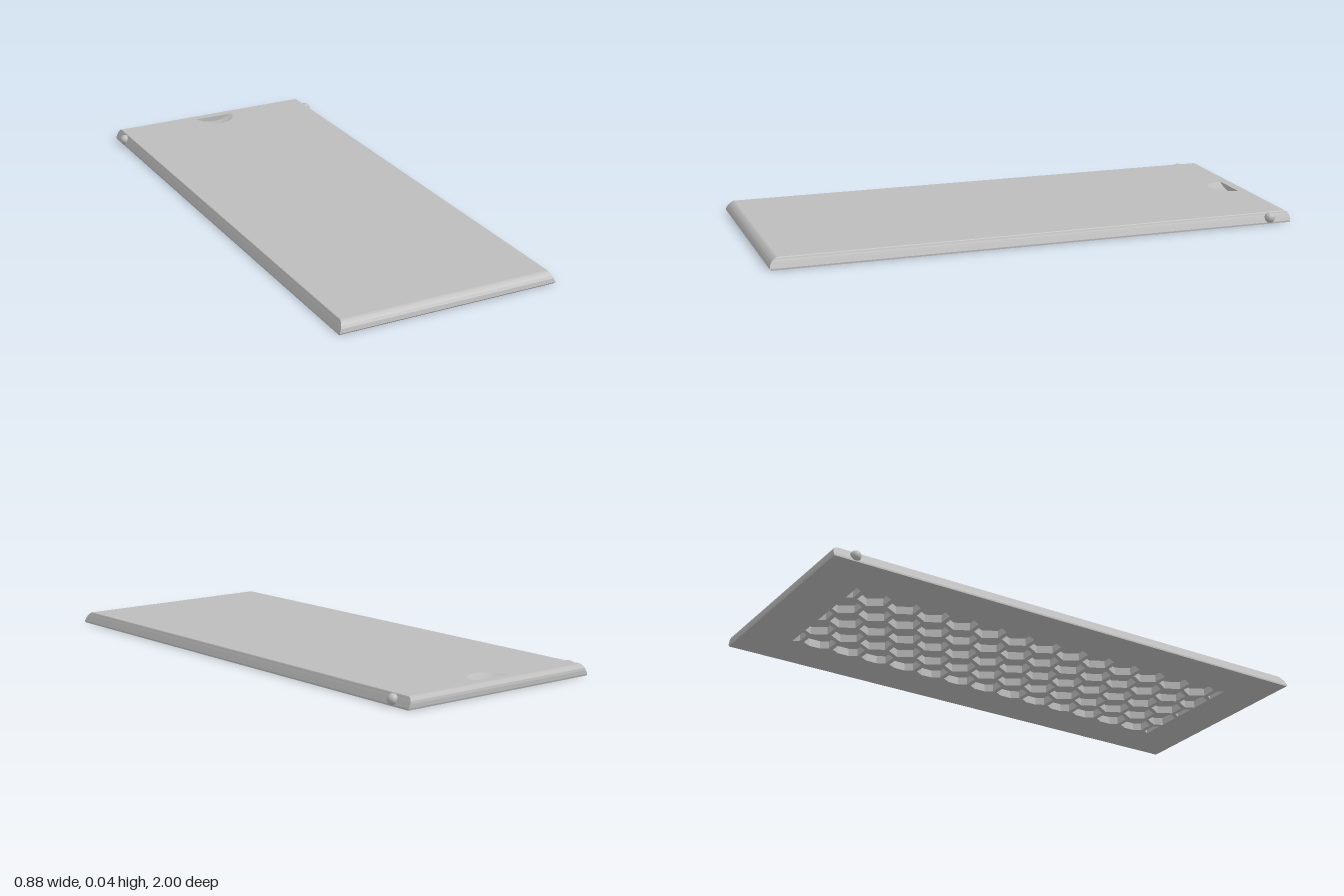
import * as THREE from 'three';

const TOP = 0.043;

// Loose-quad wall strip between two closed loops of [x, y, z] points
function band(lower, upper, out) {
  const n = lower.length;
  for (let i = 0; i < n; i++) {
    const j = (i + 1) % n;
    for (const p of [lower[i], lower[j], upper[j], lower[i], upper[j], upper[i]]) out.push(...p);
  }
}

function fromTriangles(positions) {
  const g = new THREE.BufferGeometry();
  g.setAttribute('position', new THREE.Float32BufferAttribute(positions, 3));
  g.computeVertexNormals();
  return g;
}

// Keep the part of a polygon where sign * p[axis] <= limit
function clip(poly, axis, sign, limit) {
  const out = [];
  poly.forEach((a, i) => {
    const b = poly[(i + 1) % poly.length];
    const da = limit - sign * a[axis], db = limit - sign * b[axis];
    if (da >= 0) out.push(a);
    if (da * db < 0) {
      const t = da / (da - db);
      out.push([a[0] + (b[0] - a[0]) * t, a[1] + (b[1] - a[1]) * t]);
    }
  });
  return out;
}

const toVectors = (pts) => pts.map(([x, y]) => new THREE.Vector2(x, y));

// Honeycomb cells as [x, z] outlines, trimmed to a rectangle
function honeycomb() {
  const pitchX = 0.105, pitchZ = 0.1212, radius = 0.06, limitX = 0.257, limitZ = 0.82;
  const cells = [];
  for (let c = -3; c <= 3; c++) {
    for (let r = -8; r <= 8; r++) {
      const cx = c * pitchX, cz = (r + (c % 2 ? 0.5 : 0)) * pitchZ;
      let cell = [];
      for (let k = 0; k < 6; k++) {
        const a = k * Math.PI / 3;
        cell.push([cx + radius * Math.cos(a), cz + radius * Math.sin(a)]);
      }
      for (const s of [1, -1]) {
        cell = clip(cell, 0, s, limitX);
        cell = clip(cell, 1, s, limitZ);
      }
      if (cell.length > 2 && Math.abs(THREE.ShapeUtils.area(toVectors(cell))) > 1e-5) cells.push(cell);
    }
  }
  return cells;
}

export function createModel() {
  const model = new THREE.Group();
  model.name = 'slidingLid';
  const grey = new THREE.MeshStandardMaterial({ color: 0xbcbcbc });
  grey.name = 'grey plastic';
  const add = (name, geometry) => {
    const mesh = new THREE.Mesh(geometry, grey);
    mesh.name = name;
    model.add(mesh);
    return mesh;
  };

  // Dovetailed rim: height, half width, front z, back z
  const sections = [
    [0, 0.425, 0.994, -0.998], [0.006, 0.425, 1, -1], [0.02, 0.419, 0.996, -1],
    [0.029, 0.415, 0.99, -0.998], [0.035, 0.412, 0.984, -0.994],
    [0.04, 0.41, 0.977, -0.988], [TOP, 0.408, 0.97, -0.981],
  ];
  const loops = sections.map(([y, w, f, b]) => [[w, y, f], [w, y, b], [-w, y, b], [-w, y, f]]);
  const rim = [];
  for (let i = 0; i + 1 < loops.length; i++) band(loops[i], loops[i + 1], rim);
  add('rim', fromTriangles(rim));

  // Top face with an opening for the thumb notch
  const notchZ = -0.947, notchW = 0.08, notchL = 0.085, notchD = 0.022, steps = 24;
  const arc = [];
  for (let i = 0; i <= steps; i++) {
    const a = Math.PI * i / steps;
    arc.push([notchW * Math.cos(a), -(notchZ + notchL * Math.sin(a))]);
  }
  const topShape = new THREE.Shape(toVectors(loops.at(-1).map(([x, , z]) => [x, -z])));
  topShape.holes.push(new THREE.Path(toVectors(arc)));
  add('topFace', new THREE.ShapeGeometry(topShape).rotateX(-Math.PI / 2).translate(0, TOP, 0));

  // Thumb notch: half bowl plus its upright back wall
  const bowl = new THREE.PlaneGeometry(1, 1, steps, 8);
  const pos = bowl.attributes.position;
  for (let i = 0; i < pos.count; i++) {
    const a = Math.PI * (pos.getX(i) + 0.5), r = pos.getY(i) + 0.5;
    pos.setXYZ(i, notchW * r * Math.cos(a), TOP - notchD * (1 - r * r), notchZ + notchL * r * Math.sin(a));
  }
  bowl.computeVertexNormals();
  add('notchBowl', bowl);
  const wall = [];
  for (let i = 0; i <= 16; i++) {
    const t = i / 8 - 1;
    wall.push([notchW * t, TOP - notchD * (1 - t * t)]);
  }
  add('notchWall', new THREE.ShapeGeometry(new THREE.Shape(toVectors(wall)))).position.z = notchZ;

  // Underside with honeycomb openings
  const cells = honeycomb();
  const underShape = new THREE.Shape(toVectors(loops[0].map(([x, , z]) => [x, z])));
  for (const cell of cells) underShape.holes.push(new THREE.Path(toVectors(cell)));
  add('underside', new THREE.ShapeGeometry(underShape).rotateX(Math.PI / 2));

  // Honeycomb pockets: inward walls and recessed floors
  const depth = 0.03, walls = [];
  for (const cell of cells) {
    band(cell.map(([x, z]) => [x, 0, z]), cell.map(([x, z]) => [x, depth, z]), walls);
  }
  add('pocketWalls', fromTriangles(walls));
  const floors = cells.map((cell) => new THREE.Shape(toVectors(cell)));
  add('pocketFloors', new THREE.ShapeGeometry(floors).rotateX(Math.PI / 2).translate(0, depth, 0));

  // Round snap bumps on both sides near the back
  const bump = new THREE.SphereGeometry(0.02, 24, 16);
  for (const side of [1, -1]) {
    add(side > 0 ? 'leftBump' : 'rightBump', bump).position.set(side * 0.42, 0.023, -0.915);
  }
  return model;
}
